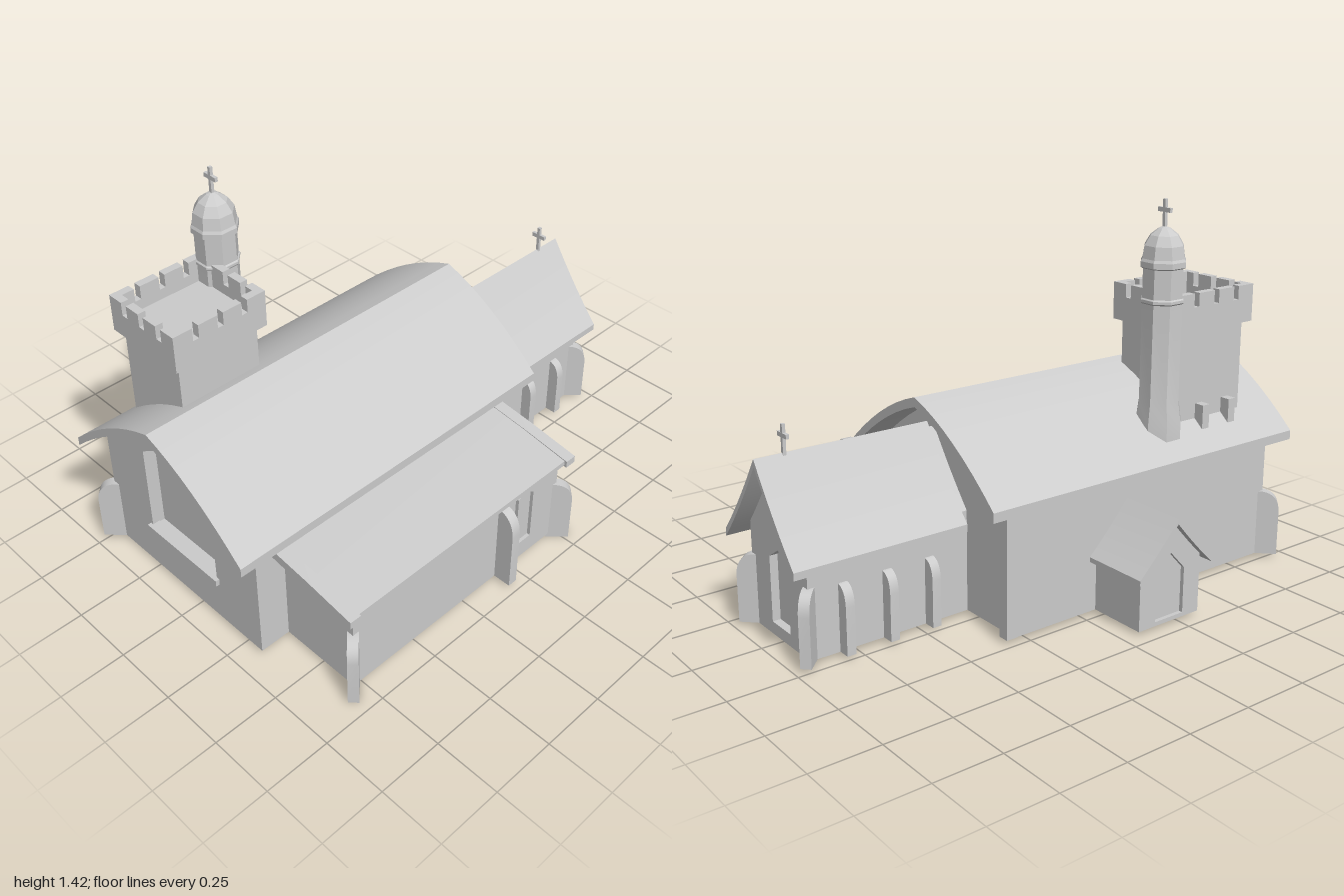
import * as THREE from 'three';
import { toCreasedNormals } from 'three/addons/utils/BufferGeometryUtils.js';

const BASE = 0.015;

export function createModel() {
  const model = new THREE.Group();
  model.name = 'church';
  const mat = new THREE.MeshStandardMaterial({ color: 0xcccccc, side: THREE.DoubleSide });

  const add = (parent, name, geo, x = 0, y = 0, z = 0) => {
    const m = new THREE.Mesh(geo, mat);
    m.name = name;
    m.position.set(x, y, z);
    parent.add(m);
    return m;
  };
  // Box given by its limits on each axis
  const box = (parent, name, x0, x1, y0, y1, z0, z1) =>
    add(parent, name, new THREE.BoxGeometry(x1 - x0, y1 - y0, z1 - z0),
      (x0 + x1) / 2, (y0 + y1) / 2, (z0 + z1) / 2);
  const poly = (pts) => new THREE.Shape(pts.map(([x, y]) => new THREE.Vector2(x, y)));
  const extrude = (shape, depth) => toCreasedNormals(
    new THREE.ExtrudeGeometry(shape, { depth, bevelEnabled: false, curveSegments: 8 }), 0.5);
  const frame = (name, x, z, angle) => {
    const g = new THREE.Group();
    g.name = name;
    g.position.set(x, 0, z);
    g.rotation.y = angle;
    model.add(g);
    return g;
  };
  const pointed = (half, y0, shoulder, peak) =>
    [[-half, y0], [half, y0], [half, shoulder], [0, peak], [-half, shoulder]];

  // Gabled hall running along local +z, with a recessed pointed opening in its far end
  function hall(name, x, z, angle, o) {
    const g = frame(name, x, z, angle);
    const roofY = (u) => {
      const s = Math.abs(u) / o.roofHalf;
      return o.ridge - (o.ridge - o.eave) * s + o.bulge * 4 * s * (1 - s);
    };
    const sweep = (half, drop) => Array.from({ length: 17 }, (_, i) => {
      const u = half * (1 - i / 8);
      return [u, roofY(u) - drop];
    });
    const section = [[-o.wallHalf, BASE], [o.wallHalf, BASE], ...sweep(o.wallHalf, o.thick - 0.005)];
    add(g, name + 'Walls', extrude(poly(section), o.length - o.recess));
    const gable = poly(section);
    gable.holes.push(poly(o.opening));
    add(g, name + 'Gable', extrude(gable, o.recess), 0, 0, o.length - o.recess);
    const roof = [...sweep(o.roofHalf, 0), ...sweep(o.roofHalf, o.thick).reverse()];
    add(g, name + 'Roof', extrude(poly(roof), o.roofEnd - o.roofStart), 0, 0, o.roofStart);
    return g;
  }

  hall('nave', 0.3, -0.073, -Math.PI / 2, {
    wallHalf: 0.403, roofHalf: 0.445, eave: 0.505, ridge: 0.787, bulge: 0.035, thick: 0.035,
    length: 1.21, roofStart: -0.12, roofEnd: 1.3, recess: 0.05,
    opening: pointed(0.18, 0.2, 0.55, 0.67),
  });
  hall('chancel', 0.3, -0.015, Math.PI / 2, {
    wallHalf: 0.19, roofHalf: 0.235, eave: 0.36, ridge: 0.672, bulge: -0.012, thick: 0.027,
    length: 0.63, roofStart: 0.03, roofEnd: 0.7, recess: 0.03,
    opening: pointed(0.062, 0.06, 0.3, 0.34),
  });
  hall('porch', -0.2, -0.45, Math.PI, {
    wallHalf: 0.14, roofHalf: 0.17, eave: 0.222, ridge: 0.402, bulge: -0.005, thick: 0.018,
    length: 0.25, roofStart: 0, roofEnd: 0.28, recess: 0.015,
    opening: pointed(0.065, 0.03, 0.2, 0.27),
  });

  // Sill of the large west window, and corner posts at the east end of the nave
  box(model, 'westSill', -0.925, -0.88, 0.18, 0.205, -0.265, 0.12);
  box(model, 'cornerPost', 0.29, 0.335, BASE, 0.51, 0.29, 0.332);
  box(model, 'cornerPost', 0.29, 0.335, BASE, 0.51, -0.478, -0.437);

  // Side aisle with lean-to roof
  const aisle = frame('aisle', 0, 0, -Math.PI / 2);
  add(aisle, 'aisleWalls', extrude(poly(
    [[0.3, BASE], [0.655, BASE], [0.655, 0.392], [0.3, 0.44]]), 1.025), 0, 0, -0.235);
  const leanTo = (extra) => poly([[0.32, 0.43 - extra], [0.5, 0.404 - extra], [0.695 + extra * 2, 0.38 - extra],
    [0.695 + extra * 2, 0.4 + extra / 2], [0.5, 0.433 + extra / 2], [0.32, 0.456 + extra / 2]]);
  add(aisle, 'aisleRoof', extrude(leanTo(0), 1.105), 0, 0, -0.26);
  for (const z of [-0.26, 0.8]) add(aisle, 'aisleBargeBoard', extrude(leanTo(0.005), 0.045), 0, 0, z);

  // Pointed aisle window: raised surround
  const surround = poly(pointed(0.046, 0.095, 0.33, 0.36));
  surround.holes.push(poly(pointed(0.034, 0.107, 0.322, 0.345)));
  add(model, 'aisleWindow', extrude(surround, 0.018), 0.05, 0, 0.65);

  // Buttresses with rounded shoulders, projecting along local +x
  function buttress(x, z, angle, depth, height, y0 = BASE, width = 0.038) {
    const s = new THREE.Shape();
    s.moveTo(-0.02, y0);
    s.lineTo(depth, y0);
    s.lineTo(depth, height * 0.72);
    s.quadraticCurveTo(depth * 0.95, height * 0.97, 0, height);
    s.lineTo(-0.02, height);
    add(frame('buttress', x, z, angle), 'buttressStone', extrude(s, width), 0, 0, -width / 2);
  }
  const q = Math.PI / 4;
  buttress(0.235, 0.65, -q, 0.065, 0.26, 0);
  buttress(-0.785, 0.65, -3 * q, 0.065, 0.26, 0);
  buttress(-0.91, -0.475, 3 * q, 0.065, 0.27);
  buttress(0.925, 0.17, -q, 0.06, 0.27);
  buttress(0.925, -0.2, q, 0.06, 0.27);
  buttress(-0.07, 0.655, -2 * q, 0.07, 0.345);
  for (const x of [0.46, 0.63, 0.8]) {
    buttress(x, 0.175, -2 * q, 0.045, 0.26, BASE, 0.034);
    buttress(x, -0.205, 2 * q, 0.045, 0.26, BASE, 0.034);
  }

  // Square tower with crenellated parapet
  const tower = frame('tower', -0.655, -0.26, 0);
  box(tower, 'towerShaft', -0.165, 0.165, 0.5, 0.99, -0.145, 0.145);
  const W = 0.19, D = 0.17, T = 0.03;
  for (const s of [-1, 1]) {
    const a = s * (W - T), b = s * W, c = s * (D - T), d = s * D;
    box(tower, 'parapet', Math.min(a, b), Math.max(a, b), 0.94, 1.03, -D, D);
    box(tower, 'parapet', -W, W, 0.94, 1.03, Math.min(c, d), Math.max(c, d));
    for (let i = 0; i < 4; i++) {
      const mx = -W + i * (2 * W - 0.077) / 3, mz = -D + i * (2 * D - 0.065) / 3;
      box(tower, 'merlon', mx, mx + 0.077, 1.03, 1.08, Math.min(c, d), Math.max(c, d));
      box(tower, 'merlon', Math.min(a, b), Math.max(a, b), 1.03, 1.08, mz, mz + 0.065);
    }
  }
  // Small stone stubs at the foot of the tower
  for (const x of [-0.09, 0.045]) box(tower, 'towerStub', x - 0.017, x + 0.017, 0.54, 0.66, -0.185, -0.14);

  // Cross with its arms along z
  function cross(x, y, z, h) {
    const g = frame('cross', x, z, 0);
    box(g, 'crossUpright', -0.006, 0.006, y, y + h, -0.006, 0.006);
    box(g, 'crossArms', -0.006, 0.006, y + h - 0.046, y + h - 0.03, -0.03, 0.03);
  }

  // Octagonal stair turret with domed cap; radii run across the corners
  const profile = [[0, 0.5], [0.088, 0.5], [0.088, 0.62], [0.076, 0.7], [0.076, 1.055], [0.081, 1.06],
    [0.081, 1.07], [0.076, 1.075], [0.076, 1.18], [0.085, 1.185], [0.085, 1.205], [0.08, 1.215],
    [0.073, 1.26], [0.052, 1.295], [0.022, 1.318], [0, 1.327]];
  const turret = toCreasedNormals(new THREE.LatheGeometry(
    profile.map(([r, y]) => new THREE.Vector2(r, y)), 8, Math.PI / 8).toNonIndexed(), 0.2);
  add(model, 'turret', turret, -0.435, 0, -0.375);

  cross(-0.435, 1.31, -0.375, 0.11);
  cross(0.89, 0.65, -0.015, 0.12);
  return model;
}
